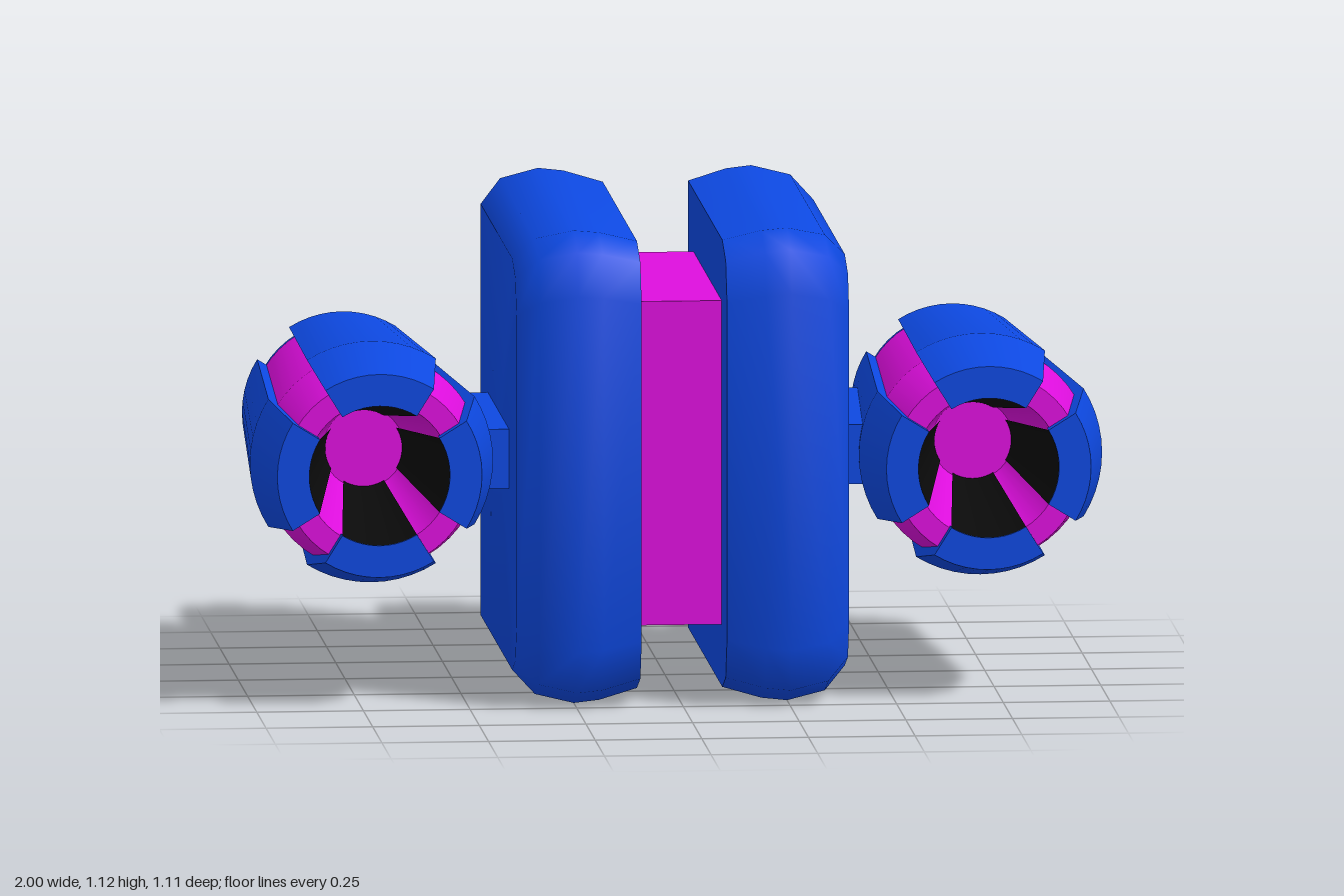
import * as THREE from 'three';
import { mergeGeometries, toCreasedNormals } from 'three/addons/utils/BufferGeometryUtils.js';

const paint = (color) => new THREE.MeshStandardMaterial({ color, side: THREE.DoubleSide });
const blue = paint(0x0d48e0), magenta = paint(0xdd0edd), black = paint(0x0a0a0a);
const CY = 0.558; // height of the centre line
const HALF = THREE.MathUtils.degToRad(32); // half angle of a pod panel

function add(parent, name, geometry, material, x = 0, y = 0, z = 0) {
  const mesh = new THREE.Mesh(geometry, material);
  mesh.name = name;
  mesh.position.set(x, y, z);
  parent.add(mesh);
  return mesh;
}

// Thick plate: one outline, rounded at the front and square at the back, inset at stations along x
function plateGeometry() {
  const lower = [[-0.557, -0.558], [0.42, -0.558], [0.52, -0.52], [0.557, -0.42]];
  const outline = [...lower, ...lower.map(([z, y]) => [z, -y]).reverse()];
  const stations = [[0.1, 0.03], [0.19, 0.006], [0.25, 0], [0.34, 0.02], [0.39, 0.072]]; // x, inset
  const n = outline.length, last = (stations.length - 1) * n;
  const pos = [], index = [];
  for (const [x, inset] of stations) {
    const s = 1 - inset / 0.557;
    for (const [z, y] of outline) pos.push(x, y * s, z * s);
  }
  const inner = pos.length / 3, outer = inner + 1;
  pos.push(stations[0][0], 0, 0, stations.at(-1)[0], 0, 0);
  for (let j = 0; j < n; j++) {
    const k = (j + 1) % n;
    for (let o = 0; o < last; o += n) index.push(o + j, o + n + j, o + k, o + n + j, o + n + k, o + k);
    index.push(inner, j, k, outer, last + k, last + j);
  }
  const g = new THREE.BufferGeometry();
  g.setAttribute('position', new THREE.Float32BufferAttribute(pos, 3));
  g.setIndex(index);
  return toCreasedNormals(g, 1.0);
}

// Revolved profile of [radius, z] points, turned so its axis runs along z
function revolve(profile, segments, start = 0, length = Math.PI * 2) {
  const pts = profile.map(([r, z]) => new THREE.Vector2(r, z));
  const g = new THREE.LatheGeometry(pts, segments, start, length);
  return toCreasedNormals(g.rotateX(Math.PI / 2), 0.24);
}

// Closed profile swept over one panel's angle, with both radial side walls
function panelGeometry(profile, mid) {
  const start = mid - HALF;
  const skin = revolve([...profile, profile[0]], 10, start, HALF * 2);
  const shape = new THREE.Shape(profile.map(([r, z]) => new THREE.Vector2(r, z)));
  const walls = [start, start + HALF * 2].map((a) =>
    new THREE.ShapeGeometry(shape).rotateY(a - Math.PI / 2).rotateX(Math.PI / 2).toNonIndexed());
  return mergeGeometries([skin, ...walls]);
}

function createPod() {
  const pod = new THREE.Group();
  pod.name = 'pod';
  // Core with a deep funnel in its front
  add(pod, 'podCore', revolve([
    [0.21, -0.485], [0.259, 0.3], [0.222, 0.495], [0.17, 0.495], [0.095, 0.08], [0, 0.08],
  ], 48), magenta);
  // Shallow dished back
  add(pod, 'podBack', revolve([[0, -0.44], [0.212, -0.49]], 48), blue);
  const panel = [
    [0.235, -0.492], [0.285, 0.3], [0.24, 0.525], [0.165, 0.525],
    [0.165, 0.49], [0.217, 0.49], [0.255, 0.3], [0.205, -0.492],
  ];
  for (let i = 0; i < 4; i++) {
    const mid = i * Math.PI / 2;
    add(pod, 'podPanel', panelGeometry(panel, mid), blue);
    add(pod, 'funnelLining', revolve([[0.165, 0.52], [0.09, 0.09]], 10, mid - HALF, HALF * 2), black);
  }
  return pod;
}

function createSide() {
  const side = new THREE.Group();
  add(side, 'plate', plateGeometry(), blue, 0, CY, 0);
  // Strut between plate and pod
  add(side, 'strut', new THREE.BoxGeometry(0.12, 0.14, 0.575), blue, 0.435, CY, -0.004);
  const pod = createPod();
  pod.position.set(0.714, CY, 0);
  side.add(pod);
  return side;
}

export function createModel() {
  const model = new THREE.Group();
  model.name = 'twinPodCraft';
  // Central block between the plates
  add(model, 'centreBlock', new THREE.BoxGeometry(0.21, 0.765, 0.765), magenta, 0, CY, 0);
  for (const s of [1, -1]) {
    const side = createSide();
    side.name = s > 0 ? 'leftSide' : 'rightSide';
    side.scale.x = s;
    model.add(side);
  }
  return model;
}
